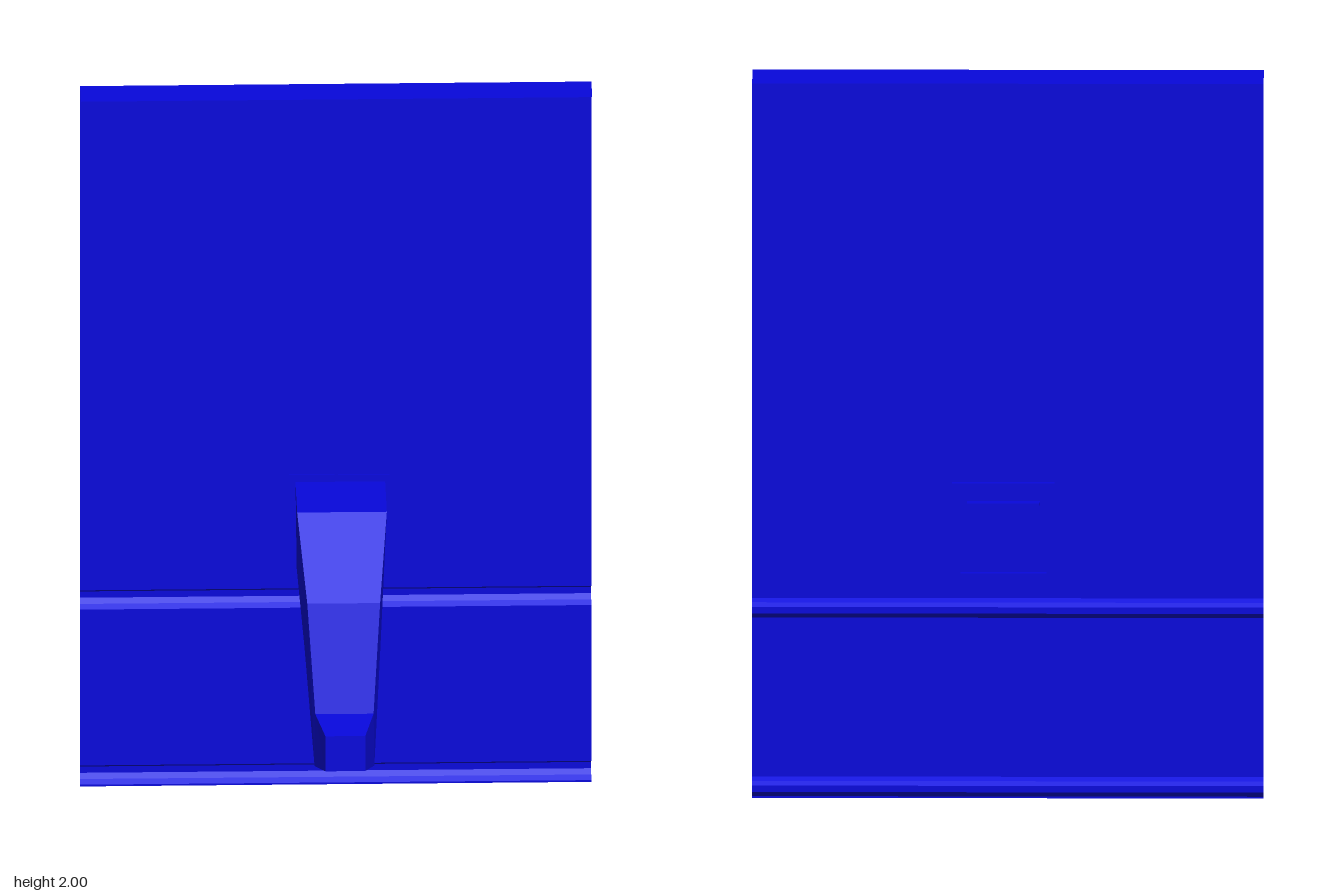
import * as THREE from 'three';

const material = new THREE.MeshStandardMaterial({ color: 0x0808dc, flatShading: true, side: THREE.DoubleSide });
const CX = 0.012; // the spout sits slightly off centre

function mesh(name, geometry) {
  const m = new THREE.Mesh(geometry, material);
  m.name = name;
  return m;
}

function box(name, w, h, d, x, y, z) {
  const m = mesh(name, new THREE.BoxGeometry(w, h, d));
  m.position.set(x, y, z);
  return m;
}

// Skin consecutive rings of points; capped rings are closed with a fan
function skin(rings, closed) {
  const n = rings[0].length, index = [];
  for (let i = 0; i + 1 < rings.length; i++) {
    for (let j = 0; j < (closed ? n : n - 1); j++) {
      const a = i * n + j, b = i * n + (j + 1) % n;
      index.push(a, b, a + n, b, b + n, a + n);
    }
  }
  if (closed) {
    const e = (rings.length - 1) * n;
    for (let j = 1; j < n - 1; j++) index.push(0, j + 1, j, e, e + j, e + j + 1);
  }
  const g = new THREE.BufferGeometry();
  g.setAttribute('position', new THREE.Float32BufferAttribute(rings.flat(2), 3));
  g.setIndex(index);
  const flat = g.toNonIndexed();
  flat.computeVertexNormals();
  return flat;
}

export function createModel() {
  const group = new THREE.Group();

  // Thin sheet: top lip, flat wall and two channels pressed backwards
  const wall = -0.288;
  const profile = [[2, -0.188], [2, wall]];
  for (const y of [0.5, 0]) {
    profile.push([y + 0.06, wall], [y + 0.053, -0.302], [y + 0.045, -0.315],
      [y + 0.027, -0.315], [y + 0.015, -0.302], [y + 0.005, wall]);
  }
  profile.push([0, wall]);
  const side = x => profile.map(([y, z]) => [x, y, z]);
  group.add(mesh('panel', skin([side(-0.667), side(0.667)], false)));

  // Bent tapering spout: [top z, top y, top half width, bottom z, bottom y, bottom half width]
  const sections = [
    [-0.287, 0.865, 0.117, -0.287, 0.62, 0.114],
    [-0.09, 0.865, 0.117, -0.03, 0.505, 0.099],
    [0.113, 0.695, 0.095, -0.03, 0.505, 0.099],
    [0.2, 0.418, 0.076, 0.2, 0.27, 0.078],
    [0.313, 0.405, 0.052, 0.313, 0.305, 0.052],
  ];
  const rings = sections.map(([tz, ty, tw, bz, by, bw]) => [
    [CX - tw, ty, tz], [CX - bw, by, bz], [CX + bw, by, bz], [CX + tw, ty, tz],
  ]);
  // Ring order is reversed so faces point outwards
  group.add(mesh('spout', skin(rings.map(r => r.slice().reverse()), true)));

  // Mounting frame standing proud on both sides of the panel
  const rect = (T, w, h) => {
    const s = new T();
    s.moveTo(-w, -h);
    s.lineTo(w, -h);
    s.lineTo(w, h);
    s.lineTo(-w, h);
    s.closePath();
    return s;
  };
  const outline = rect(THREE.Shape, 0.134, 0.137);
  outline.holes.push(rect(THREE.Path, 0.112, 0.115));
  const frame = mesh('mountingFrame', new THREE.ExtrudeGeometry(outline, { depth: 0.013, bevelEnabled: false }));
  frame.position.set(CX, 0.748, -0.298);
  group.add(frame);

  // Hook on the back and small catch below the spout
  group.add(box('backHook', 0.19, 0.008, 0.02, CX, 0.828, -0.297));
  group.add(box('catch', 0.19, 0.02, 0.012, CX, 0.618, -0.268));

  return group;
}
